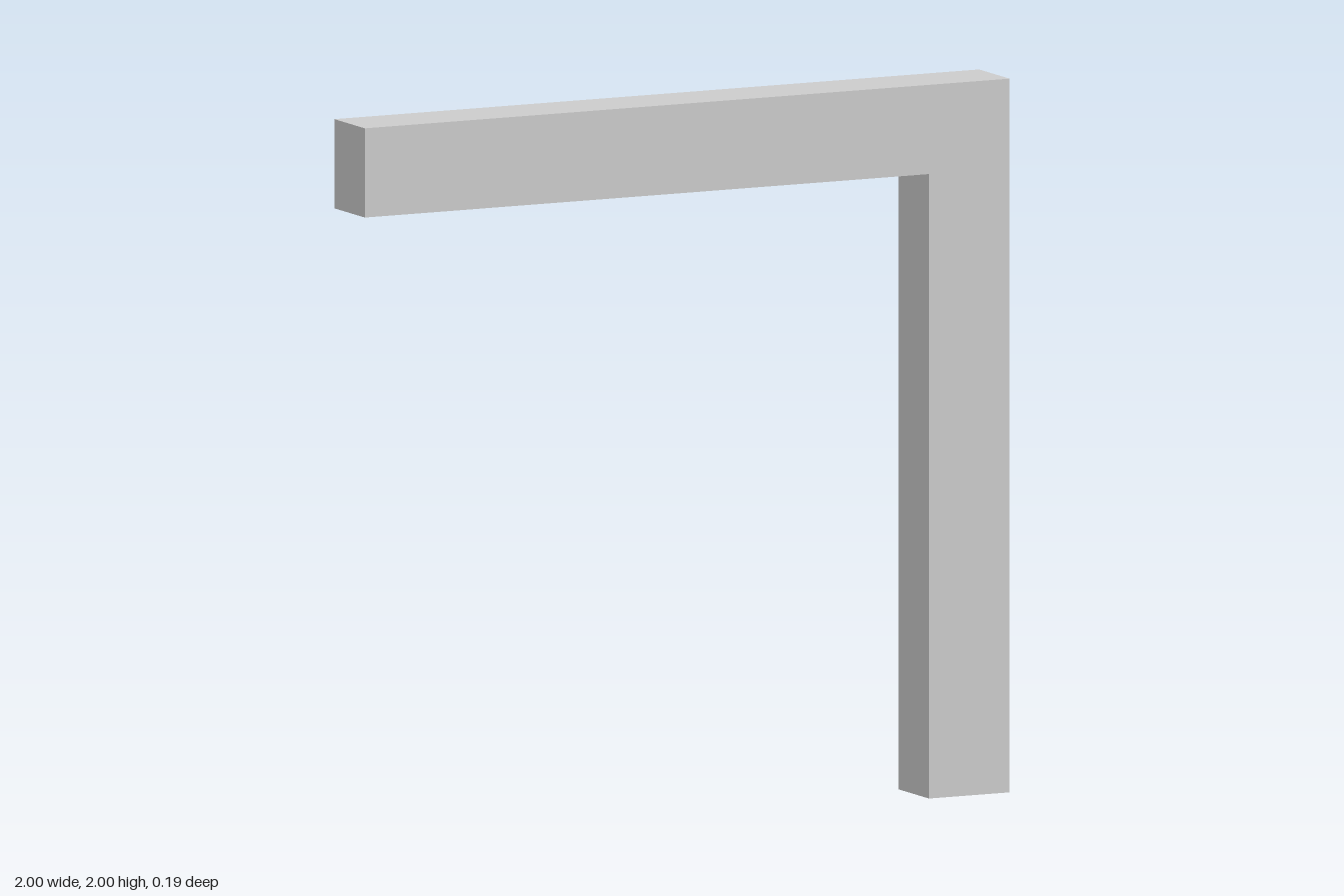
import * as THREE from 'three';

const DEPTH = 0.187;
const THICK = 0.25;

export function createModel() {
  const group = new THREE.Group();
  group.name = 'cornerBracket';

  // L-shaped outline: a horizontal beam joined to a post on the +x side
  const inner = 1 - THICK;
  const top = 2 - THICK;
  const outline = new THREE.Shape([
    [1, 0], [1, 2], [-1, 2], [-1, top], [inner, top], [inner, 0],
  ].map(([x, y]) => new THREE.Vector2(x, y)));

  const geometry = new THREE.ExtrudeGeometry(outline, { depth: DEPTH, bevelEnabled: false });
  geometry.translate(0, 0, -DEPTH / 2);

  const frame = new THREE.Mesh(
    geometry,
    new THREE.MeshStandardMaterial({ color: 0xcccccc, flatShading: true }),
  );
  frame.name = 'beamAndPost';
  group.add(frame);
  return group;
}
